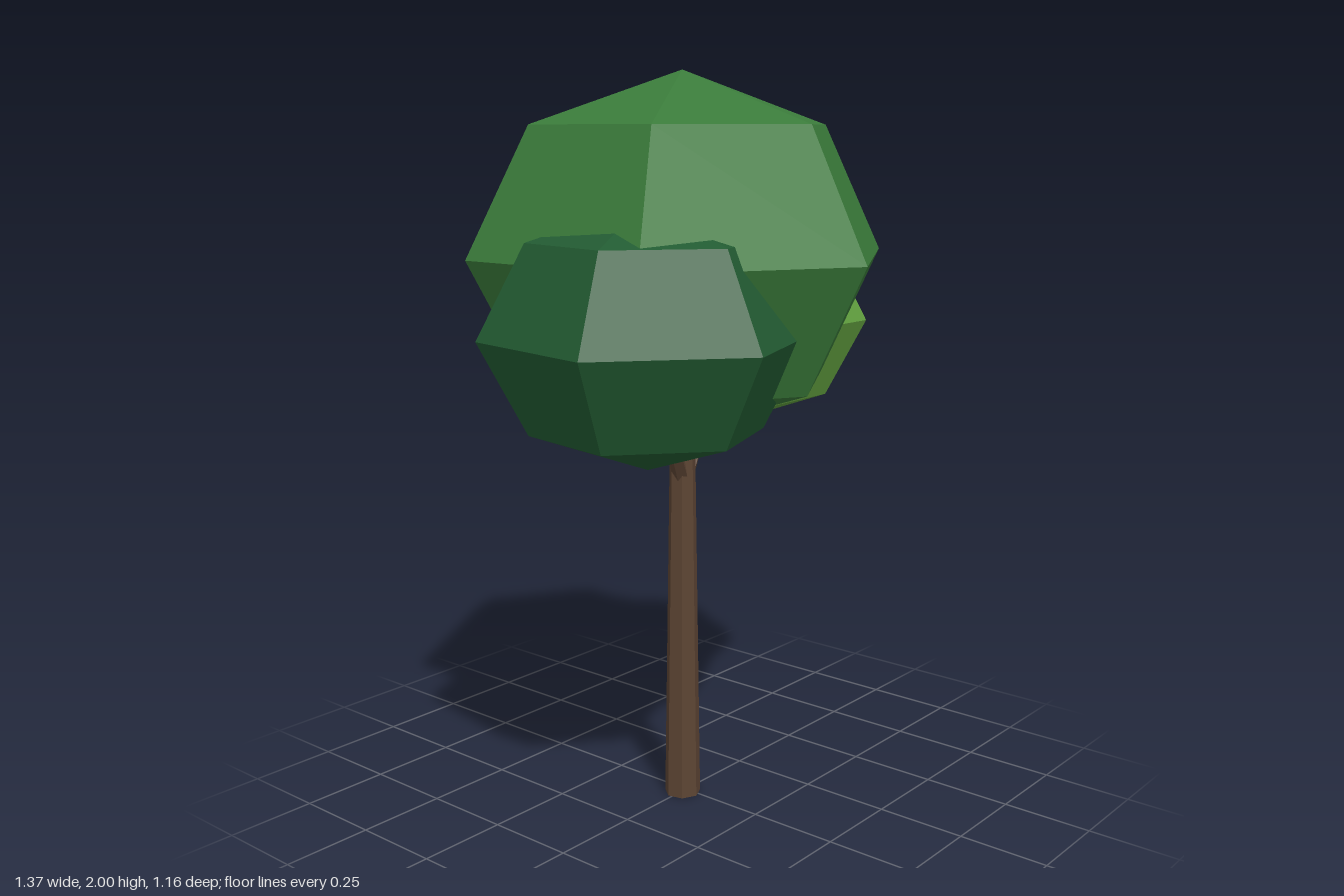
import * as THREE from 'three';

const material = (name, color) => {
  const m = new THREE.MeshStandardMaterial({ color, flatShading: true });
  m.name = name;
  return m;
};

export function createModel() {
  const tree = new THREE.Group();
  tree.name = 'tree';

  const bark = material('bark brown', 0x5c4433);
  const midGreen = material('mid green', 0x3a7b3a);
  const lightGreen = material('light green', 0x609e3e);
  const darkGreen = material('dark green', 0x225b32);

  const trunkX = -0.015;

  const add = (name, geometry, mat) => {
    const mesh = new THREE.Mesh(geometry, mat);
    mesh.name = name;
    tree.add(mesh);
    return mesh;
  };

  // Faceted foliage: six-sided squashed sphere turned about y
  const foliage = (name, mat, radius, halfHeight, [x, y, z], turn) => {
    const geometry = new THREE.SphereGeometry(1, 6, 4);
    geometry.scale(radius, halfHeight, radius);
    const mesh = add(name, geometry, mat);
    mesh.position.set(x, y, z);
    mesh.rotation.y = THREE.MathUtils.degToRad(turn);
  };

  // Tapered branch between two points
  const branch = (name, from, to) => {
    const a = new THREE.Vector3(...from);
    const dir = new THREE.Vector3(...to).sub(a);
    const length = dir.length();
    const geometry = new THREE.CylinderGeometry(0.016, 0.024, length, 5);
    geometry.translate(0, length / 2, 0);
    const mesh = add(name, geometry, bark);
    mesh.position.copy(a);
    mesh.quaternion.setFromUnitVectors(new THREE.Vector3(0, 1, 0), dir.normalize());
  };

  // Trunk
  const trunk = add('trunk', new THREE.CylinderGeometry(0.035, 0.051, 1.045, 7), bark);
  trunk.position.set(trunkX, 1.045 / 2, 0);

  // Branches reaching into the side clumps
  branch('leftBranch', [trunkX, 0.89, 0], [0.25, 1.245, -0.065]);
  branch('rightBranch', [trunkX, 0.91, 0], [-0.24, 1.265, 0.095]);

  // Crown and side clumps
  foliage('crown', midGreen, 0.58, 0.473, [trunkX, 1.527, 0], 30);
  foliage('leftClump', lightGreen, 0.38, 0.304, [0.305, 1.323, -0.08], 0);
  foliage('rightClump', darkGreen, 0.422, 0.336, [-0.29, 1.344, 0.117], 20);

  return tree;
}
